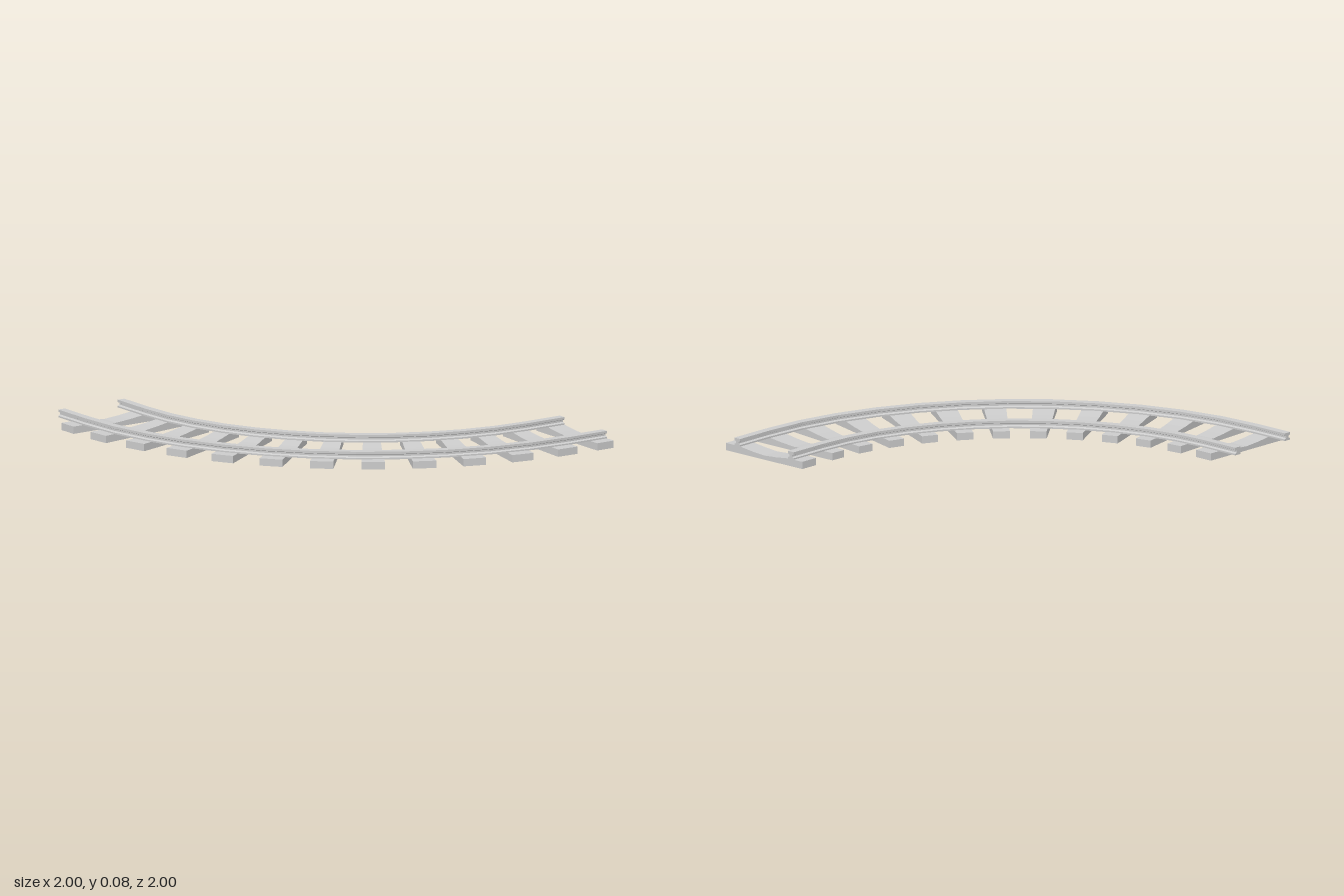
import * as THREE from 'three';

const C = 0.78;            // bend centre is at (C, -C)
const R = 1.5225;          // centreline radius of the bend
const STRAIGHT = 1 - C;    // straight run at each end
const ARC = R * Math.PI / 2;
const BEND_STEPS = 12;

// Point on the ground at distance s along the track, u towards the inside of the bend
function trackPoint(s, u) {
  const r = R - u;
  if (s < STRAIGHT) return [C - r, -1 + s];
  if (s > STRAIGHT + ARC) return [C + s - STRAIGHT - ARC, -C + r];
  const a = (s - STRAIGHT) / R;
  return [C - r * Math.cos(a), -C + r * Math.sin(a)];
}

// Extrude a (u, y) section and bend it along the track; toS turns depth into distance
function sweep(points, depth, steps, toS) {
  const shape = new THREE.Shape(points.map(([u, y]) => new THREE.Vector2(u, y)));
  const geo = new THREE.ExtrudeGeometry(shape, { depth, steps, bevelEnabled: false });
  const p = geo.attributes.position;
  for (let i = 0; i < p.count; i++) {
    const [x, z] = trackPoint(toS(p.getZ(i)), p.getX(i));
    p.setXYZ(i, x, p.getY(i), z);
  }
  geo.computeVertexNormals();
  return geo;
}

// Mirror a half section (right side, bottom to top) into a closed outline
const mirrored = half => [...half, ...half.map(([u, y]) => [-u, y]).reverse()];

export function createModel() {
  const group = new THREE.Group();
  const material = new THREE.MeshStandardMaterial({ color: 0xcccccc, flatShading: true });
  const add = (name, geo) => {
    const mesh = new THREE.Mesh(geo, material);
    mesh.name = name;
    group.add(mesh);
  };

  // Rails: I-beam section, one step per straight end and BEND_STEPS round the bend
  const railHalf = [[0.02, 0.036], [0.02, 0.044], [0.008, 0.049],
    [0.008, 0.058], [0.02, 0.063], [0.02, 0.075]];
  const railS = k => {
    if (k < 0.5) return 0;
    if (k > BEND_STEPS + 1.5) return 2 * STRAIGHT + ARC;
    return STRAIGHT + (k - 1) * ARC / BEND_STEPS;
  };
  for (const [name, offset] of [['outerRail', -0.18], ['innerRail', 0.18]]) {
    const section = mirrored(railHalf).map(([u, y]) => [u + offset, y]);
    add(name, sweep(section, BEND_STEPS + 2, BEND_STEPS + 2, railS));
  }

  // Sleepers: sagging top between the rails, widening towards the outside of the bend
  const sleeper = [[-0.2575, 0], [0.2575, 0], [0.2575, 0.037], [0.165, 0.037],
    [0.08, 0.027], [0, 0.021], [-0.08, 0.027], [-0.165, 0.037], [-0.2575, 0.037]];
  const width = 0.1, first = 0.16, last = 2 * STRAIGHT + ARC - width / 2, count = 13;
  for (let i = 0; i < count; i++) {
    const start = first + (last - first) * i / (count - 1) - width / 2;
    add('sleeper' + (i + 1), sweep(sleeper, width, 1, d => start + d));
  }
  return group;
}
